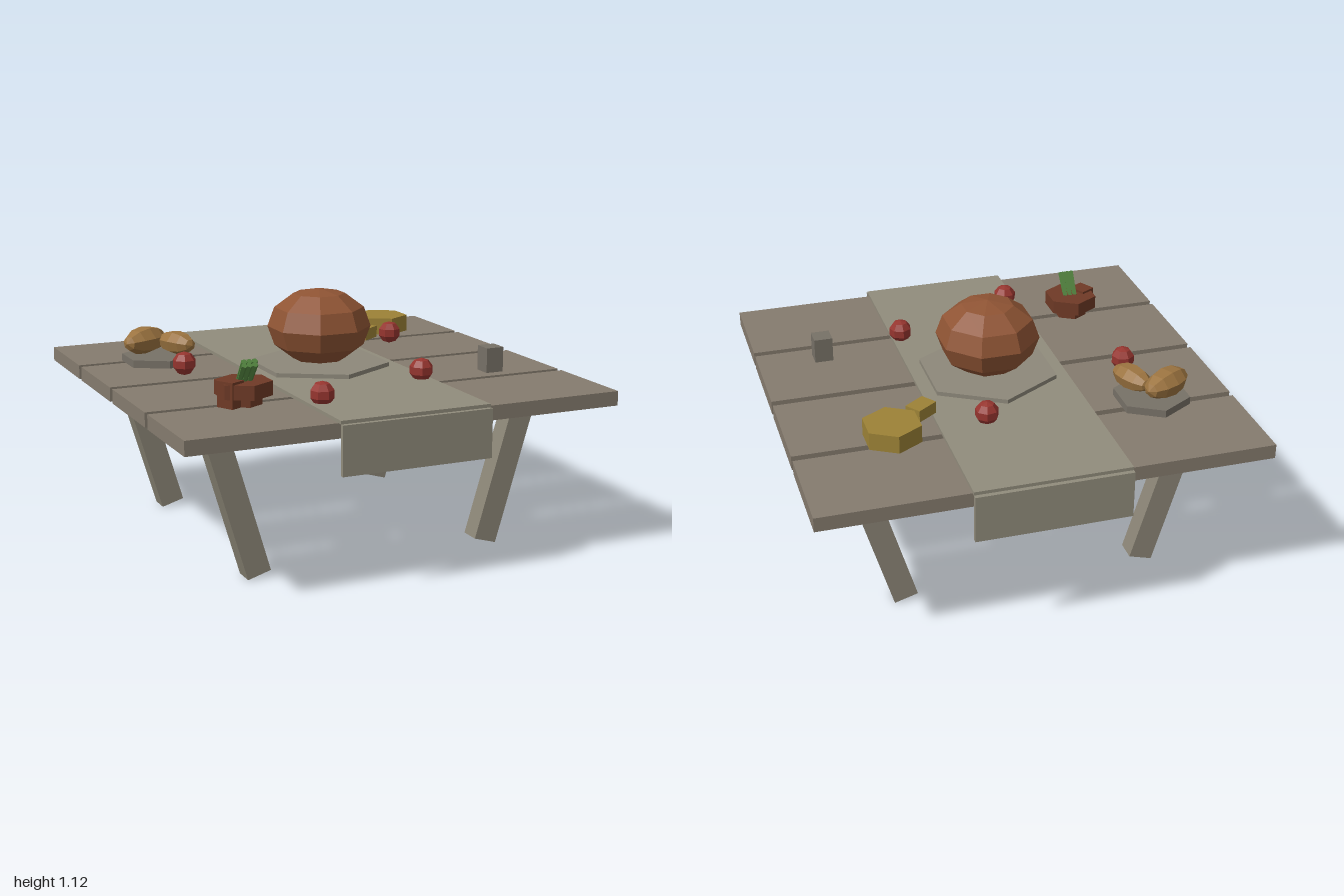
import * as THREE from 'three';

export function createModel() {
  const model = new THREE.Group();
  const paint = (color) => new THREE.MeshStandardMaterial({ color, flatShading: true, roughness: 0.9 });
  const mats = {
    plank: paint(0x857b6e), frame: paint(0x8c8677), cloth: paint(0x918c7c), dish: paint(0x8d887a),
    stone: paint(0x777167), roast: paint(0x8f5434), apple: paint(0x96352f), bread: paint(0x9c7440),
    clay: paint(0x6f3a26), cheese: paint(0x9c8236), green: paint(0x4f7f3c),
  };

  function add(name, geometry, mat, x, y, z) {
    const mesh = new THREE.Mesh(geometry, mat);
    mesh.name = name;
    mesh.position.set(x, y, z);
    model.add(mesh);
    return mesh;
  }
  const box = (name, mat, w, h, d, x, y, z) => add(name, new THREE.BoxGeometry(w, h, d), mat, x, y, z);
  // Six-sided disc given by its bottom and top heights
  const hex = (name, mat, r, y0, y1, x, z) =>
    add(name, new THREE.CylinderGeometry(r, r, y1 - y0, 6), mat, x, (y0 + y1) / 2, z);

  // Table top
  for (const z of [-0.735, -0.247, 0.242, 0.728]) box('plank', mats.plank, 2, 0.065, 0.452, 0, 0.7175, z);

  // Beams and slanted legs
  const tilt = 0.287, legLength = 0.64;
  for (const sz of [-1, 1]) {
    box('crossBeam', mats.frame, 1.64, 0.085, 0.107, 0, 0.643, sz * 0.562);
    for (const sx of [-1, 1]) {
      const leg = box('leg', mats.frame, 0.11, legLength, 0.096,
        sx * (0.553 + Math.sin(tilt) * legLength / 2), 0.02 + Math.cos(tilt) * legLength / 2, sz * 0.562);
      leg.rotation.z = -sx * tilt;
    }
  }

  // Table runner with hanging ends
  box('runner', mats.cloth, 0.69, 0.015, 1.96, 0, 0.758, 0);
  for (const s of [-1, 1]) box('runnerEnd', mats.cloth, 0.69, 0.215, 0.02, 0, 0.643, s * 0.99);

  // Centre platter with the roast
  hex('platter', mats.dish, 0.325, 0.762, 0.785, 0, 0);
  const roast = add('roast', new THREE.SphereGeometry(0.238, 8, 6), mats.roast, 0, 0.95, 0);
  roast.scale.y = 0.74;
  roast.rotation.y = Math.PI / 8;

  // Apples scattered over the table
  const apples = [[0.13, -0.435], [-0.615, -0.125], [-0.285, 0.665], [0.305, 0.435], [0.56, -0.39]];
  apples.forEach(([x, z], i) => {
    add('apple', new THREE.SphereGeometry(0.055, 7, 5), mats.apple, x, 0.803, z).rotation.y = i * 0.4;
  });

  // Bread plate and two pointed loaves
  hex('breadPlate', mats.stone, 0.173, 0.75, 0.785, -0.635, -0.44);
  function loaf(half, width, height, x, y, z, turn) {
    const g = new THREE.SphereGeometry(1, 7, 6).rotateZ(Math.PI / 2).scale(half, height, width);
    add('loaf', g, mats.bread, x, y, z).rotation.y = turn;
  }
  loaf(0.125, 0.073, 0.066, -0.685, 0.85, -0.48, 0.52);
  loaf(0.11, 0.062, 0.056, -0.56, 0.845, -0.385, -1.19);

  // Clay bowl with foot and handle block
  hex('bowl', mats.clay, 0.125, 0.79, 0.853, -0.572, 0.495);
  hex('bowlFoot', mats.clay, 0.08, 0.75, 0.79, -0.572, 0.495);
  box('bowlHandle', mats.clay, 0.075, 0.113, 0.085, -0.642, 0.807, 0.525).rotation.y = 0.5;

  // Leaning bundle of green stalks
  for (let i = 0; i < 6; i++) {
    const row = i % 2;
    const stalk = add('stalk', new THREE.CylinderGeometry(0.014, 0.011, 0.12, 5), mats.green,
      -0.597 + Math.floor(i / 2) * 0.024 + row * 0.006, 0.885 + row * 0.012, 0.537 - row * 0.018);
    stalk.rotation.x = 0.65;
  }

  // Cheese wheel and cut piece
  hex('cheeseWheel', mats.cheese, 0.132, 0.79, 0.87, 0.57, -0.51);
  box('cheesePiece', mats.cheese, 0.11, 0.055, 0.08, 0.405, 0.82, -0.355).rotation.y = 0.62;

  // Square cup
  box('cup', mats.stone, 0.085, 0.115, 0.085, 0.697, 0.807, 0.37);

  return model;
}
